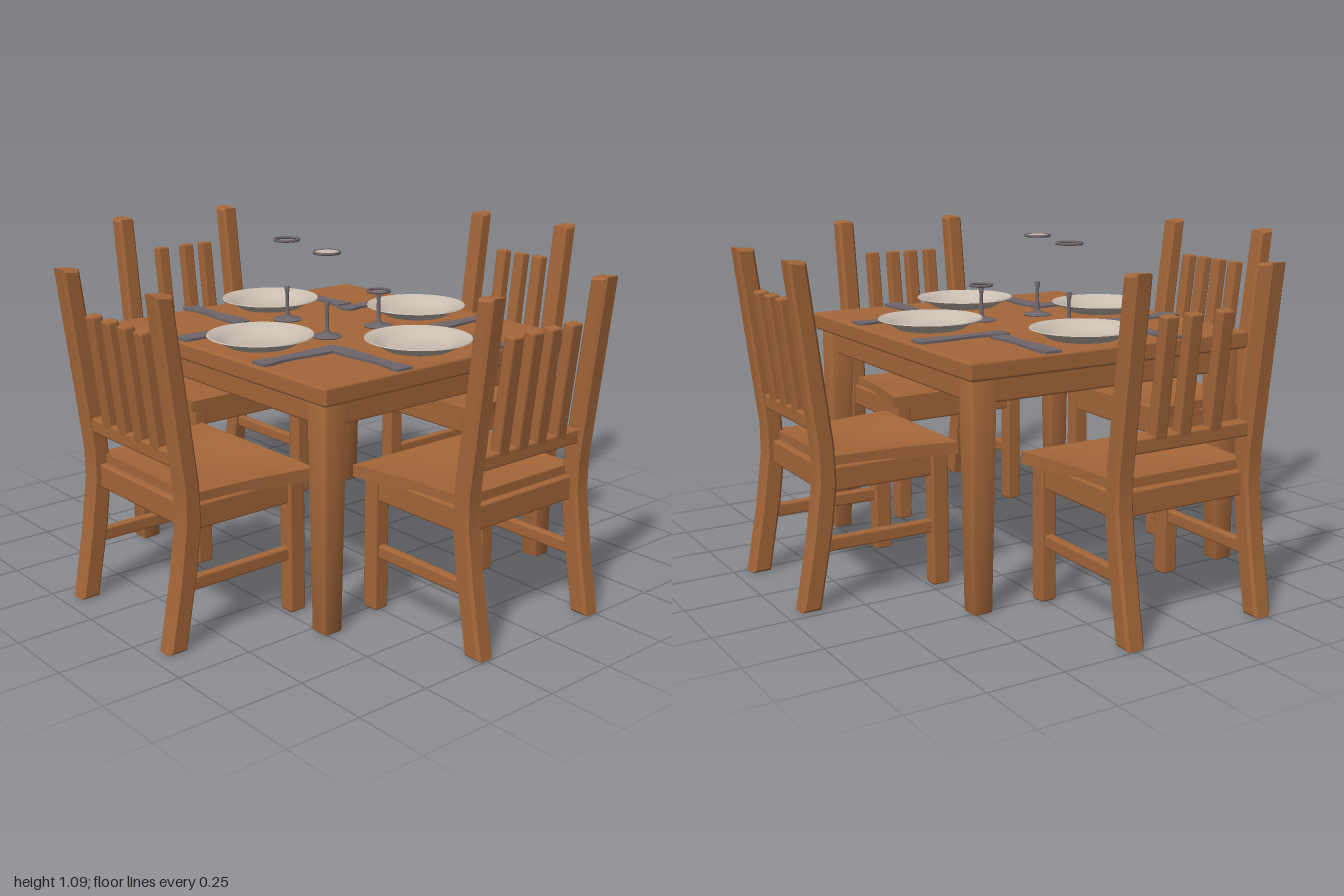
import * as THREE from 'three';
import { RoundedBoxGeometry } from 'three/addons/geometries/RoundedBoxGeometry.js';
import { toCreasedNormals } from 'three/addons/utils/BufferGeometryUtils.js';

const makeMaterial = (name, color, side = THREE.FrontSide) => {
  const m = new THREE.MeshStandardMaterial({ color, side });
  m.name = name;
  return m;
};

export function createModel() {
  const wood = makeMaterial('wood', 0xa5673a);
  const china = makeMaterial('china', 0xcabdb1, THREE.DoubleSide);
  const metal = makeMaterial('metal', 0x6e666a, THREE.DoubleSide);

  const add = (parent, name, geometry, material, x = 0, y = 0, z = 0) => {
    const mesh = new THREE.Mesh(geometry, material);
    mesh.name = name;
    mesh.position.set(x, y, z);
    parent.add(mesh);
    return mesh;
  };
  const block = (w, h, d, r = 0.008) => new RoundedBoxGeometry(w, h, d, 1, r);

  // Move each vertex of a geometry by a rule
  const reshape = (geometry, rule) => {
    const p = geometry.attributes.position;
    const v = new THREE.Vector3();
    for (let i = 0; i < p.count; i++) {
      v.fromBufferAttribute(p, i);
      rule(v);
      p.setXYZ(i, v.x, v.y, v.z);
    }
    return toCreasedNormals(geometry, 0.6);
  };

  // Bent chair post: side outline (z, y) extruded across its width
  const postGeometry = () => {
    const b = 0.009;
    const outline = [
      [-0.005, 0], [-0.045, 0.22], [-0.07, 0.4], [-0.07, 0.5], [0, 1.09],
      [-0.06, 1.085], [-0.13, 0.52], [-0.135, 0.4], [-0.115, 0.24], [-0.07, 0],
    ].map(([z, y]) => new THREE.Vector2(z, y));
    const g = new THREE.ExtrudeGeometry(new THREE.Shape(outline), {
      depth: 0.046, bevelEnabled: true, bevelSize: b, bevelThickness: b,
      bevelOffset: -b, bevelSegments: 1,
    });
    g.translate(0, 0, -0.023);
    g.rotateY(-Math.PI / 2);
    return toCreasedNormals(g, 0.5);
  };

  // Chair facing -z, with the outside of its back on z = 0
  const makeChair = (name, halfWidth, slats) => {
    const chair = new THREE.Group();
    chair.name = name;
    const px = halfWidth - 0.033;
    for (const s of [-1, 1]) {
      add(chair, 'backPost', postGeometry(), wood, s * px, 0, 0);
      add(chair, 'frontLeg', block(0.055, 0.45, 0.06), wood, s * px, 0.225, -0.495);
      add(chair, 'sideApron', block(0.035, 0.08, 0.37), wood, s * px, 0.41, -0.3);
      add(chair, 'sideStretcher', block(0.03, 0.045, 0.4), wood, s * px, 0.2, -0.29);
    }
    add(chair, 'frontApron', block(2 * px, 0.08, 0.03), wood, 0, 0.41, -0.5);
    add(chair, 'backApron', block(2 * px, 0.08, 0.03), wood, 0, 0.41, -0.11);

    // Dished seat, wider towards its front
    const seat = reshape(new THREE.BoxGeometry(2, 0.04, 0.43, 14, 1, 10), (v) => {
      const f = 0.5 - v.z / 0.43;
      const u = v.x;
      v.x *= halfWidth - 0.03 + 0.05 * f * f;
      if (v.y > 0) v.y -= 0.018 * (1 - u * u) * Math.sin(Math.PI * f);
    });
    add(chair, 'seat', seat, wood, 0, 0.46, -0.332);

    // Lower back rail and leaning slats
    add(chair, 'backRail', block(2 * px, 0.048, 0.045), wood, 0, 0.585, -0.095);
    for (const x of slats) {
      const slat = add(chair, 'slat', block(0.048, 0.37, 0.04), wood, x, 0.777, -0.07);
      slat.rotation.x = 0.12;
    }
    return chair;
  };

  const model = new THREE.Group();
  model.name = 'diningSet';

  // Four chairs: name, half width, slats, position, turn
  [
    ['frontChair', 0.275, [-0.125, -0.04, 0.04, 0.13], -0.005, 1, 0],
    ['backChair', 0.275, [0.085, -0.03, -0.118], 0.005, -1, Math.PI],
    ['leftChair', 0.245, [-0.114, -0.025, 0.067], 0.955, 0.02, Math.PI / 2],
    ['rightChair', 0.29, [-0.137, -0.045, 0.044, 0.135], -0.955, 0.09, -Math.PI / 2],
  ].forEach(([name, w, slats, x, z, turn]) => {
    const chair = makeChair(name, w, slats);
    chair.position.set(x, 0, z);
    chair.rotation.y = turn;
    model.add(chair);
  });

  // Table
  const table = new THREE.Group();
  table.name = 'table';
  table.position.z = 0.025;
  model.add(table);
  add(table, 'tableTop', block(1.07, 0.06, 1.15, 0.01), wood, 0, 0.77, 0);
  for (const s of [-1, 1]) {
    add(table, 'longApron', block(0.035, 0.09, 0.98), wood, s * 0.475, 0.705, 0);
    add(table, 'shortApron', block(0.88, 0.09, 0.035), wood, 0, 0.705, s * 0.515);
    for (const t of [-1, 1]) {
      // Leg narrows downwards on its inner sides
      const leg = reshape(block(0.088, 0.745, 0.088), (v) => {
        const k = 1 - 0.25 * (0.5 - v.y / 0.745);
        v.x = s * 0.04 + (v.x - s * 0.04) * k;
        v.z = t * 0.04 + (v.z - t * 0.04) * k;
      });
      add(table, 'tableLeg', leg, wood, s * 0.47, 0.3725, t * 0.505);
    }
  }

  // Plates
  const plateProfile = [
    [0, 0.004], [0.1, 0.004], [0.122, 0.013], [0.135, 0.024], [0.174, 0.036],
    [0.176, 0.033], [0.14, 0.018], [0.11, 0], [0, 0],
  ].map(([x, y]) => new THREE.Vector2(x, y)).reverse();
  const plate = toCreasedNormals(new THREE.LatheGeometry(plateProfile, 40), 0.7);
  [[0.022, -0.385], [0, 0.425], [-0.36, 0.06], [0.345, 0.05]].forEach(([x, z]) => {
    add(model, 'plate', plate, china, x, 0.803, z);
  });

  // Cutlery: flat waisted pieces, two by each plate
  const half = [[0.028, -0.165], [0.034, -0.15], [0.032, -0.06], [0.022, 0.03],
    [0.024, 0.09], [0.034, 0.14], [0.03, 0.165]];
  const outline = half.concat(half.map(([x, y]) => [-x, y]).reverse())
    .map(([x, y]) => new THREE.Vector2(x, y));
  const piece = new THREE.ExtrudeGeometry(new THREE.Shape(outline),
    { depth: 0.008, bevelEnabled: false });
  piece.rotateX(-Math.PI / 2);
  const q = Math.PI / 2;
  [
    [-0.22, -0.39, 0], [0.245, -0.39, Math.PI], [-0.22, 0.435, Math.PI], [0.22, 0.435, 0],
    [-0.36, -0.16, -q], [-0.36, 0.265, q], [0.355, -0.175, q], [0.36, 0.255, -q],
  ].forEach(([x, z, turn]) => {
    add(model, 'cutlery', piece, metal, x, 0.801, z).rotation.y = turn;
  });

  // Stemmed glasses: foot, stem and rim
  const stemProfile = [[0, 0], [0.05, 0], [0.05, 0.004], [0.02, 0.009], [0.007, 0.022],
    [0.006, 0.09], [0.01, 0.118], [0, 0.12]].map(([x, y]) => new THREE.Vector2(x, y));
  const stem = new THREE.LatheGeometry(stemProfile, 20);
  [[-0.06, -0.18, 1.085, 0.043], [-0.12, 0.11, 1.085, 0.043], [0.115, 0.105, 0.925, 0.038]]
    .forEach(([x, z, y, r], i) => {
      add(model, 'glassStem', stem, metal, x, 0.801, z);
      add(model, 'glassRim', new THREE.TorusGeometry(r, 0.005, 6, 28), metal, x, y, z)
        .rotation.x = q;
      if (i === 1) {
        add(model, 'glassDisc', new THREE.CylinderGeometry(r, r, 0.004, 28), china, x, y, z);
      }
    });

  return model;
}
